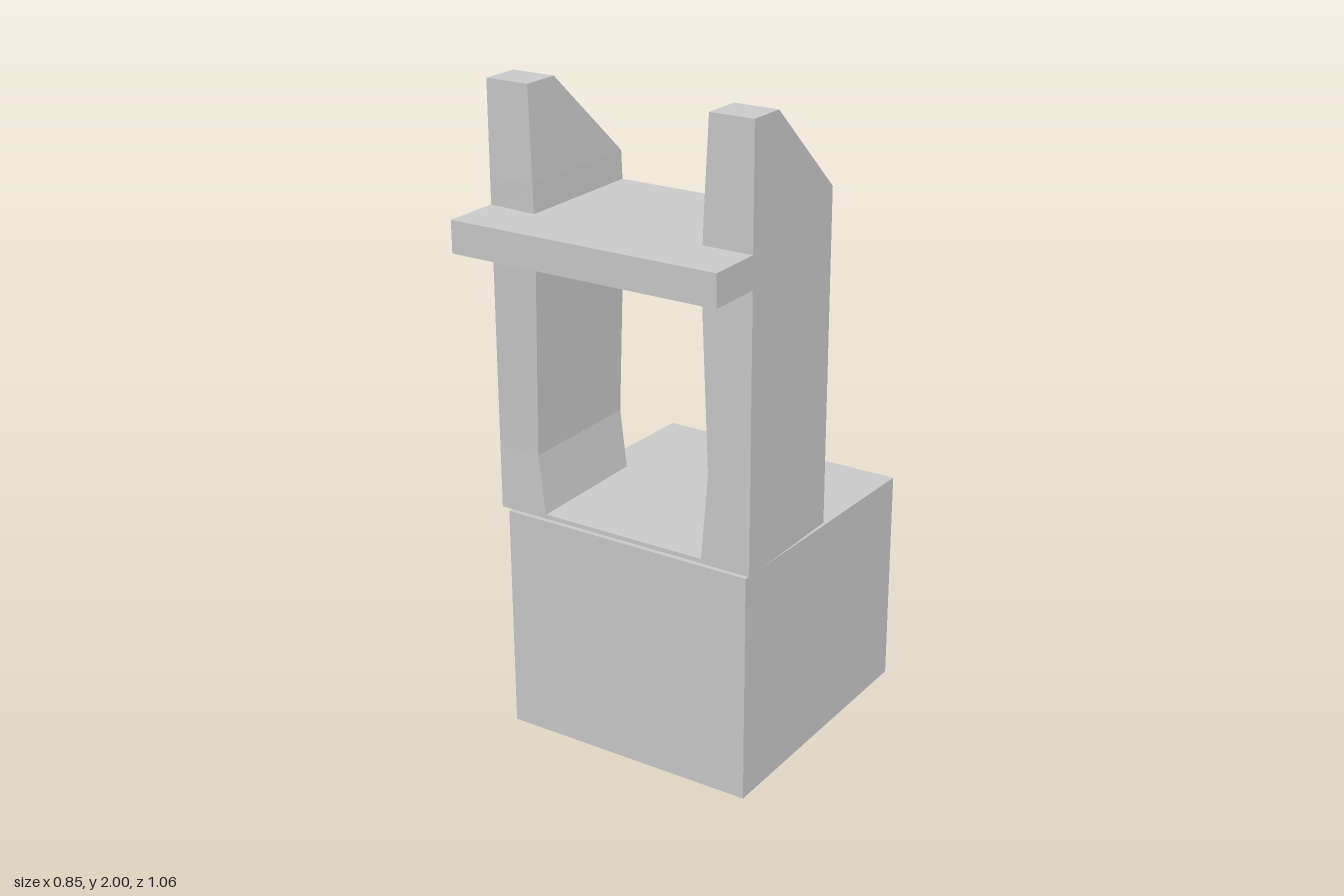
import * as THREE from 'three';

const material = new THREE.MeshStandardMaterial({ color: 0xcccccc, flatShading: true, side: THREE.DoubleSide });

function addMesh(group, name, geometry) {
  const mesh = new THREE.Mesh(geometry, material);
  mesh.name = name;
  group.add(mesh);
  return mesh;
}

// Box given by its lowest and highest corners
function boxBetween(min, max) {
  const size = max.map((v, i) => v - min[i]);
  const mid = max.map((v, i) => (v + min[i]) / 2);
  return new THREE.BoxGeometry(...size).translate(...mid);
}

// Four-sided post lofted through levels of [y, innerX, frontZ, backZ, innerFrontZ]
function postGeometry(side, outerX, levels) {
  const points = [];
  for (const [y, inner, front, back, innerFront] of levels) {
    points.push(side * outerX, y, front, side * inner, y, innerFront, side * inner, y, back, side * outerX, y, back);
  }
  const index = [];
  const quad = (a, b, c, d) => side > 0
    ? index.push(a, c, b, a, d, c)
    : index.push(a, b, c, a, c, d);
  for (let i = 0; i < levels.length - 1; i++) {
    for (let j = 0; j < 4; j++) {
      const k = (j + 1) % 4;
      quad(i * 4 + j, i * 4 + k, i * 4 + 4 + k, i * 4 + 4 + j);
    }
  }
  const t = (levels.length - 1) * 4;
  quad(3, 2, 1, 0);
  quad(t, t + 1, t + 2, t + 3);
  const geometry = new THREE.BufferGeometry();
  geometry.setAttribute('position', new THREE.Float32BufferAttribute(points, 3));
  geometry.setIndex(index);
  const flat = geometry.toNonIndexed();
  flat.computeVertexNormals();
  return flat;
}

export function createModel() {
  const model = new THREE.Group();
  model.name = 'tower';

  // Base block, its top falling slightly towards the back
  const base = boxBetween([-0.41, 0.005, -0.53], [0.404, 0.71, 0.345]);
  const pos = base.attributes.position;
  for (let i = 0; i < pos.count; i++) {
    if (pos.getY(i) > 0.5 && pos.getZ(i) < 0) pos.setY(i, 0.685);
  }
  base.computeVertexNormals();
  addMesh(model, 'baseBlock', base);

  // Thin floor between the posts
  addMesh(model, 'floorPlate', boxBetween([-0.28, 0.725, -0.055], [0.28, 0.738, 0.355]));

  // Posts with wavy inner faces and a chamfered back top
  const sides = [['leftPost', 1, 0.422, 0, 1.0], ['rightPost', -1, 0.425, 0.014, 0.92]];
  for (const [name, side, outerX, bulge, waistY] of sides) {
    addMesh(model, name, postGeometry(side, outerX, [
      [0.725, 0.265, 0.356, -0.057, 0.356],
      [waistY, 0.288, 0.356, -0.057, 0.356],
      [1.55, 0.265, 0.356, -0.057, 0.356 + bulge],
      [1.73, 0.272, 0.356, -0.057, 0.356 + bulge * 0.7],
      [2.0, 0.287, 0.356, 0.237, 0.356],
    ]));
  }

  // T-shaped shelf: narrow between the posts, full width in front
  const outline = [[-0.27, 0.057], [0.27, 0.057], [0.27, -0.355], [0.422, -0.355],
    [0.422, -0.532], [-0.425, -0.532], [-0.425, -0.355], [-0.27, -0.355]];
  const shelf = new THREE.ExtrudeGeometry(
    new THREE.Shape(outline.map(([x, y]) => new THREE.Vector2(x, y))),
    { depth: 0.095, bevelEnabled: false },
  );
  shelf.rotateX(-Math.PI / 2).translate(0, 1.55, 0);
  addMesh(model, 'shelf', shelf);

  return model;
}
